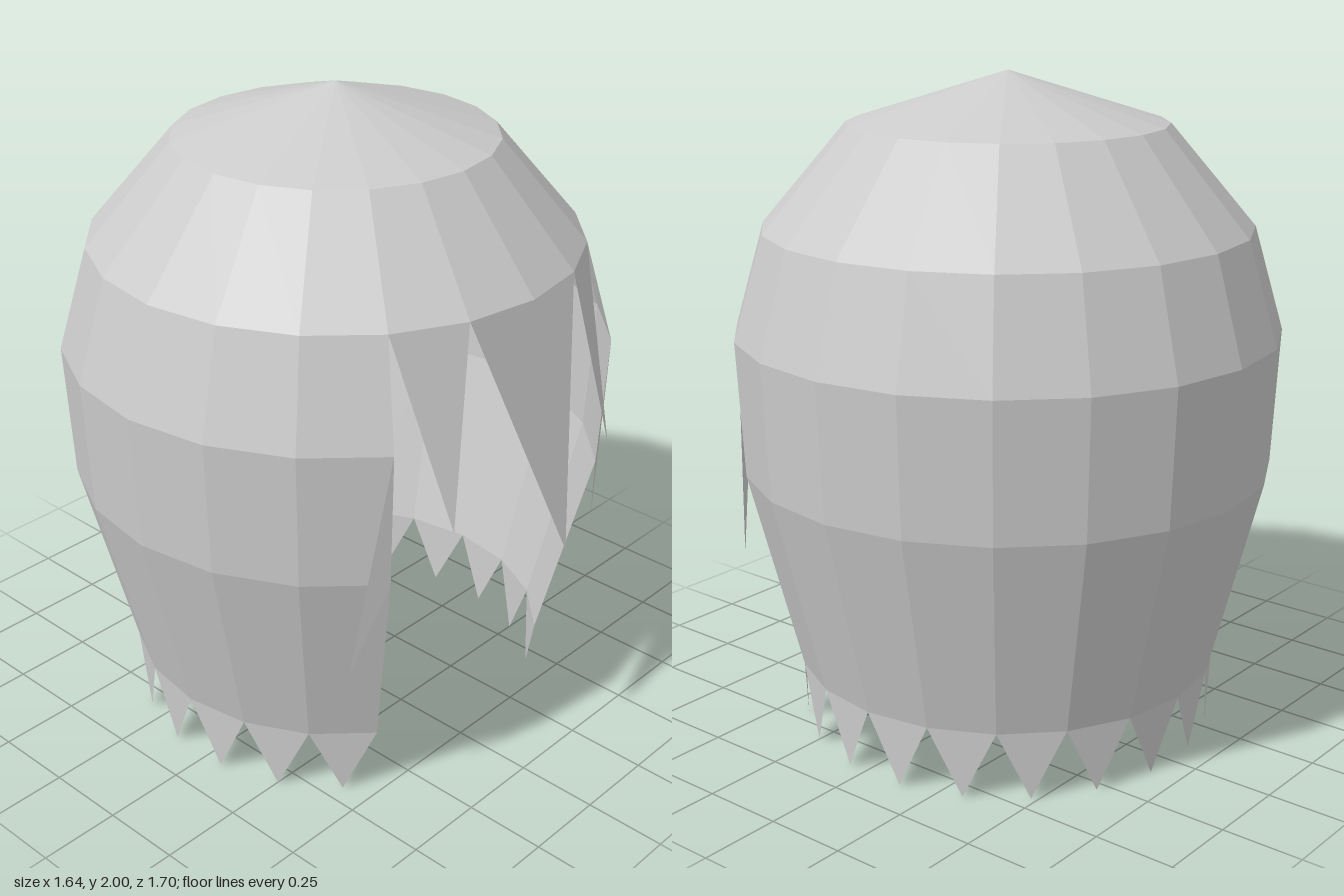
import * as THREE from 'three';

const SEGMENTS = 20;
const STEP = (Math.PI * 2) / SEGMENTS;
const CENTER_Z = -0.035;

// [radius, height] rings, top to bottom
const CROWN = [[0, 2], [0.475, 1.85], [0.73, 1.55]];
const CURTAIN = [[0.73, 1.55], [0.82, 1.24], [0.8, 0.83], [0.645, 0.21]];

export function createModel() {
  const group = new THREE.Group();
  const material = new THREE.MeshStandardMaterial({
    color: 0xcccccc, flatShading: true, side: THREE.DoubleSide,
  });

  function add(name, geometry) {
    const mesh = new THREE.Mesh(geometry, material);
    mesh.name = name;
    mesh.position.z = CENTER_Z;
    group.add(mesh);
  }

  // Point on a ring, i steps round from the front towards +x
  const ringPoint = ([r, y], i) =>
    new THREE.Vector3(r * Math.sin(i * STEP), y, r * Math.cos(i * STEP));

  function shell(rings, start, count) {
    const points = rings.map(([r, y]) => new THREE.Vector2(r, y)).reverse();
    return new THREE.LatheGeometry(points, count, start * STEP, count * STEP);
  }

  // Loose triangles, three points each
  function triangles(points) {
    const geometry = new THREE.BufferGeometry().setFromPoints(points);
    geometry.computeVertexNormals();
    return geometry;
  }

  // Closed crown, and the curtain of hair that leaves the face open
  add('crown', shell(CROWN, 0, SEGMENTS));
  add('curtain', shell(CURTAIN, 2, 16));

  // One pointed tip under every curtain segment
  const hem = CURTAIN[3];
  const tips = [];
  for (let i = 2; i < 18; i++) {
    tips.push(ringPoint(hem, i), ringPoint([0.63, 0], i + 0.5), ringPoint(hem, i + 1));
  }
  add('hemTips', triangles(tips));

  // Wide middle fringe spike
  const brow = CURTAIN[0];
  add('middleFringe', triangles([
    ringPoint(brow, -1), new THREE.Vector3(0, 0.83, 0.85 - CENTER_Z), ringPoint(brow, 1),
  ]));

  // Narrow fringe spikes and sideburns, mirrored
  for (const [side, s] of [['left', 1], ['right', -1]]) {
    const fringe = [
      ringPoint(brow, s), new THREE.Vector3(s * 0.35, 0.99, 0.73 - CENTER_Z), ringPoint(brow, 2 * s),
    ];
    const sideburn = [
      ringPoint(CURTAIN[1], 2 * s), ringPoint(CURTAIN[2], 2 * s),
      new THREE.Vector3(s * 0.565, 0.54, 0.545 - CENTER_Z),
    ];
    // Keep the corners counter-clockwise on the mirrored side
    add(side + 'Fringe', triangles(s > 0 ? fringe : fringe.reverse()));
    add(side + 'Sideburn', triangles(s > 0 ? sideburn : sideburn.reverse()));
  }

  return group;
}
